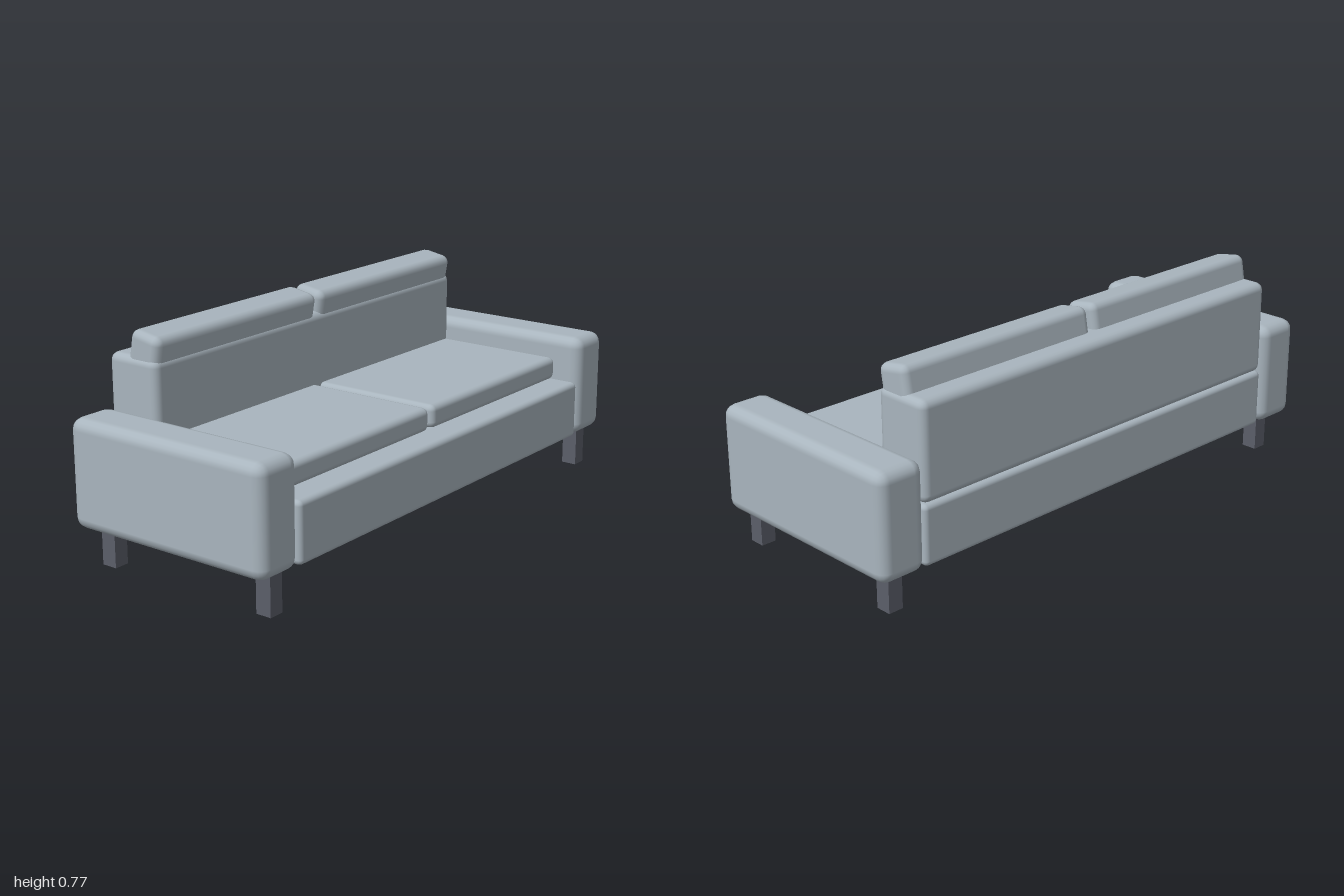
import * as THREE from 'three';
import { RoundedBoxGeometry } from 'three/addons/geometries/RoundedBoxGeometry.js';

export function createModel() {
  const sofa = new THREE.Group();
  sofa.name = 'sofa';

  const fabric = new THREE.MeshStandardMaterial({ color: 0xa9b5be });
  fabric.name = 'blue grey fabric';
  const legPaint = new THREE.MeshStandardMaterial({ color: 0x5b5e69 });
  legPaint.name = 'dark grey legs';

  // Softly rounded block given by its min and max on each axis
  function block(name, [x0, x1], [y0, y1], [z0, z1], radius) {
    const geometry = new RoundedBoxGeometry(x1 - x0, y1 - y0, z1 - z0, 2, radius);
    const mesh = new THREE.Mesh(geometry, fabric);
    mesh.name = name;
    mesh.position.set((x0 + x1) / 2, (y0 + y1) / 2, (z0 + z1) / 2);
    sofa.add(mesh);
    return mesh;
  }

  // Base and backrest run between the arms
  block('base', [-0.39, 0.398], [0.135, 0.345], [-0.82, 0.82], 0.018);
  block('backrest', [-0.39, -0.182], [0.345, 0.685], [-0.82, 0.82], 0.028);

  for (const side of [1, -1]) {
    const label = side > 0 ? 'left' : 'right';
    const span = (a, b) => (side > 0 ? [a, b] : [-b, -a]);

    block(label + 'Arm', [-0.4, 0.4], [0.133, 0.506], span(0.822, 1), 0.04);
    block(label + 'SeatCushion', [-0.2, 0.305], [0.345, 0.428], span(0.008, 0.813), 0.022);

    // Head cushion tips forward and sinks into the backrest
    const head = block(label + 'HeadCushion', [-0.311, -0.185], [0.605, 0.765], span(0.008, 0.813), 0.028);
    head.rotation.z = THREE.MathUtils.degToRad(-10);

    // Square legs under each arm
    for (const [x, end] of [[-0.311, 'Back'], [0.342, 'Front']]) {
      const leg = new THREE.Mesh(new THREE.BoxGeometry(0.057, 0.136, 0.055), legPaint);
      leg.name = label + end + 'Leg';
      leg.position.set(x, 0.068, side * 0.903);
      sofa.add(leg);
    }
  }

  return sofa;
}
